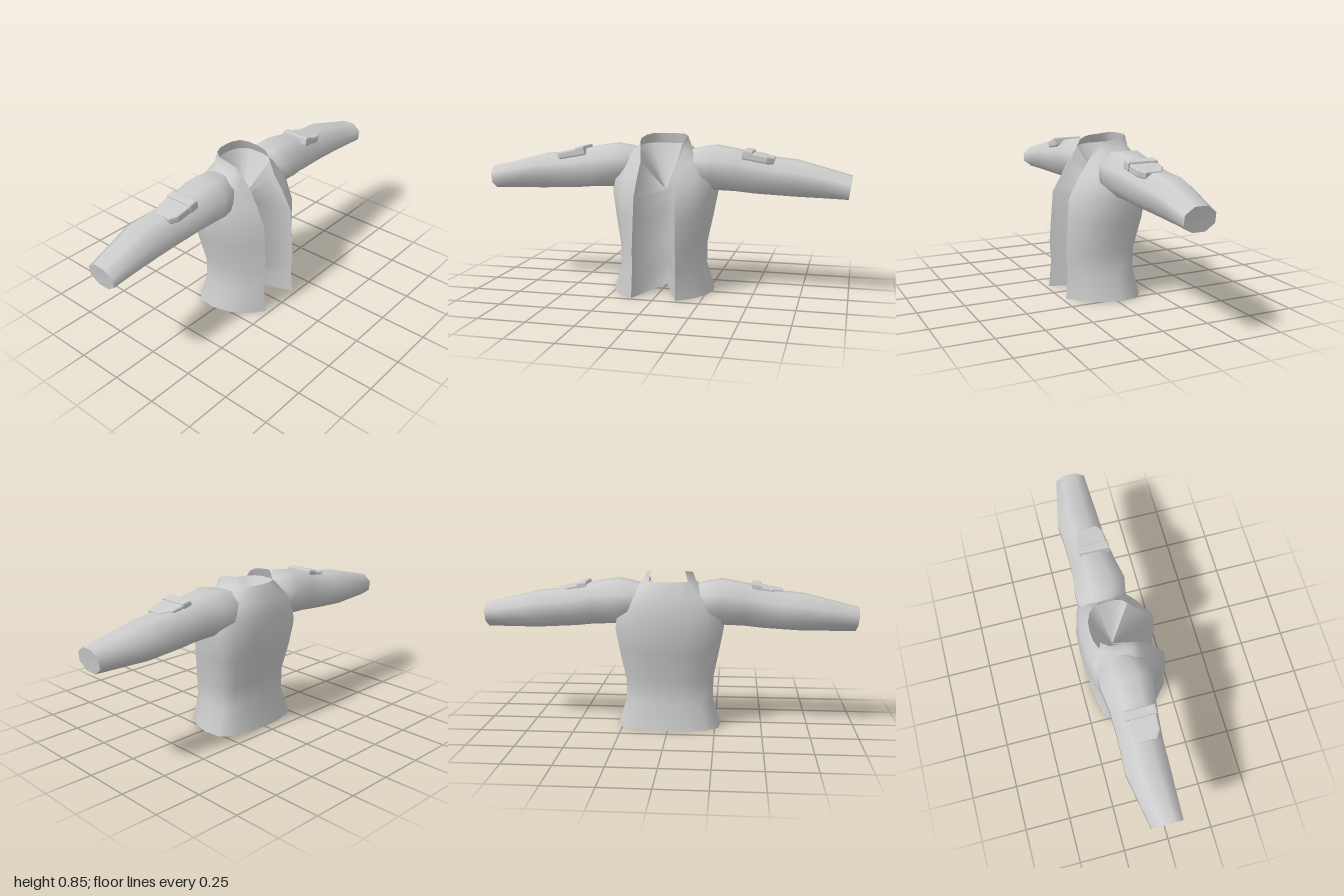
import * as THREE from 'three';

const fabric = new THREE.MeshStandardMaterial({ color: 0xcccccc });
fabric.name = 'grey fabric';

// Skin a list of rings (each a list of [x, y, z]) with smooth normals.
function loft(rings, { closed = false, flip = false, skip = () => false } = {}) {
  const n = rings[0].length;
  const index = [];
  for (let i = 0; i < rings.length - 1; i++) {
    for (let j = 0; j < (closed ? n : n - 1); j++) {
      if (skip(i, j)) continue;
      const k = (j + 1) % n;
      const a = i * n + j, b = i * n + k, c = b + n, d = a + n;
      if (flip) index.push(a, c, b, a, d, c);
      else index.push(a, b, c, a, c, d);
    }
  }
  const g = new THREE.BufferGeometry();
  g.setAttribute('position', new THREE.Float32BufferAttribute(rings.flat(2), 3));
  g.setIndex(index);
  g.computeVertexNormals();
  return g;
}

function part(parent, name, geometry) {
  const mesh = new THREE.Mesh(geometry, fabric);
  mesh.name = name;
  parent.add(mesh);
  return mesh;
}

// Open torso ring: left front edge, round the back, to right front edge.
// y, front edge x, front z, half width, back z, extra height at the back
function torsoRing([y, ex, zf, w, zb, rise]) {
  const half = [
    [ex, zf], [ex + (w - ex) * 0.5, zf * 0.71], [ex + (w - ex) * 0.83, zf * 0.36],
    [w, zb * 0.1], [w * 0.96, zb * 0.6], [w * 0.73, zb * 0.85],
    [w * 0.38, zb * 0.97], [0, zb],
  ].map(([x, z], i) => [x, y + rise * Math.min(1, i / 5), z]);
  const other = half.slice(0, 7).reverse().map(([x, yy, z]) => [-x, yy, z]);
  return [...half, ...other];
}

const torsoRows = [
  [0, 0.12, 0.23, 0.28, -0.195, 0],
  [0.14, 0.118, 0.217, 0.237, -0.166, 0],
  [0.26, 0.116, 0.225, 0.238, -0.168, 0],
  [0.42, 0.113, 0.214, 0.27, -0.208, 0],
  [0.54, 0.11, 0.205, 0.292, -0.228, 0],
  [0.64, 0.105, 0.15, 0.28, -0.22, 0],
  [0.715, 0.1, 0.1, 0.235, -0.21, 0],
  [0.78, 0.11, 0.06, 0.14, -0.165, 0.015],
  [0.81, 0.115, 0.042, 0.122, -0.155, 0.04],
];

// x, top y, bottom y, front z, back z
const sleeveRows = [
  [0.13, 0.77, 0.62, 0.03, -0.15],
  [0.2, 0.785, 0.58, 0.075, -0.18],
  [0.28, 0.798, 0.565, 0.09, -0.18],
  [0.4, 0.778, 0.56, 0.07, -0.165],
  [0.5, 0.755, 0.55, 0.06, -0.162],
  [0.6, 0.738, 0.545, 0.052, -0.164],
  [0.71, 0.728, 0.54, 0.05, -0.17],
  [0.85, 0.693, 0.538, 0.047, -0.142],
  [1, 0.655, 0.535, 0.046, -0.115],
];

function sleeveRing([x, top, bottom, front, back], side) {
  const sides = 8, grow = 1.04;
  return Array.from({ length: sides }, (_, j) => {
    const a = ((j + 0.5) / sides) * Math.PI * 2;
    const c = Math.cos(a) / Math.cos(Math.PI / sides);
    const s = (Math.sin(a) / Math.cos(Math.PI / sides));
    const y = (top + bottom) / 2 + c * (top - bottom) / 2;
    const z = (front + back) / 2 + s * (front - back) / 2;
    const slant = x === 1 ? (1 - c) * 0.008 * grow : 0;
    return [side * (x - slant), y, z];
  });
}

// Flat panel drawn in x and z, extruded upwards with a soft edge
function pad(points, depth, bevel) {
  const shape = new THREE.Shape(points.map(([x, z]) => new THREE.Vector2(x, -z)));
  const g = new THREE.ExtrudeGeometry(shape, {
    depth, bevelEnabled: true, bevelThickness: bevel, bevelSize: bevel,
    bevelOffset: -bevel, bevelSegments: 2,
  });
  return g.rotateX(-Math.PI / 2);
}

export function createModel() {
  const jacket = new THREE.Group();
  jacket.name = 'jacket';

  // Torso shell and standing collar; the collar's back is only an inner face
  const rings = torsoRows.map(torsoRing);
  const last = rings.length - 1;
  part(jacket, 'torso', loft(rings, { skip: (i, j) => i === last - 1 && j >= 5 && j <= 8 }));

  // Wedge-shaped front opening
  const throat = [0, 0.55, -0.05];
  const opening = rings.slice(0, last).map((r) => {
    const y = r[0][1];
    const apex = y < 0.55 ? [0, y, -0.1 + 0.05 * (y / 0.55)] : throat;
    return [r[14], apex, r[0]];
  });
  part(jacket, 'frontOpening', loft(opening));

  // Inside of collar and neck
  const neck = rings[last].map(() => throat);
  part(jacket, 'neckLining', loft([neck, rings[last - 1]], { flip: true }));
  part(jacket, 'collarLining', loft([rings[last - 1], rings[last]], { flip: true }));

  // Closed hem
  part(jacket, 'hem', loft([rings[0].map(() => [0, 0, -0.1]), rings[0]]));

  for (const side of [1, -1]) {
    const label = side > 0 ? 'left' : 'right';
    const flip = side < 0;

    // Sleeve with closed cuff
    const tube = sleeveRows.map((row) => sleeveRing(row, side));
    part(jacket, label + 'Sleeve', loft(tube, { closed: true, flip }));
    const cuff = tube[tube.length - 1];
    const middle = cuff.map(() => [side * 0.99, 0.595, -0.035]);
    part(jacket, label + 'Cuff', loft([cuff, middle], { closed: true, flip }));

    // Upper-arm flap with a raised band at its inner end
    const flap = new THREE.Group();
    flap.name = label + 'ArmFlap';
    const panel = [[0, -0.105], [0.11, -0.105], [0.168, -0.065], [0.168, 0.02], [0.13, 0.045], [0, 0.05]];
    const band = [[0, -0.108], [0.05, -0.108], [0.05, 0.053], [0, 0.053]];
    const mirror = (pts) => (side > 0 ? pts : pts.map(([x, z]) => [-x, z]).reverse());
    part(flap, 'flapPanel', pad(mirror(panel), 0.024, 0.008));
    part(flap, 'flapBand', pad(mirror(band), 0.034, 0.008));
    flap.position.set(side * 0.432, 0.745, 0);
    flap.rotation.z = -side * 0.19;
    jacket.add(flap);
  }
  return jacket;
}
